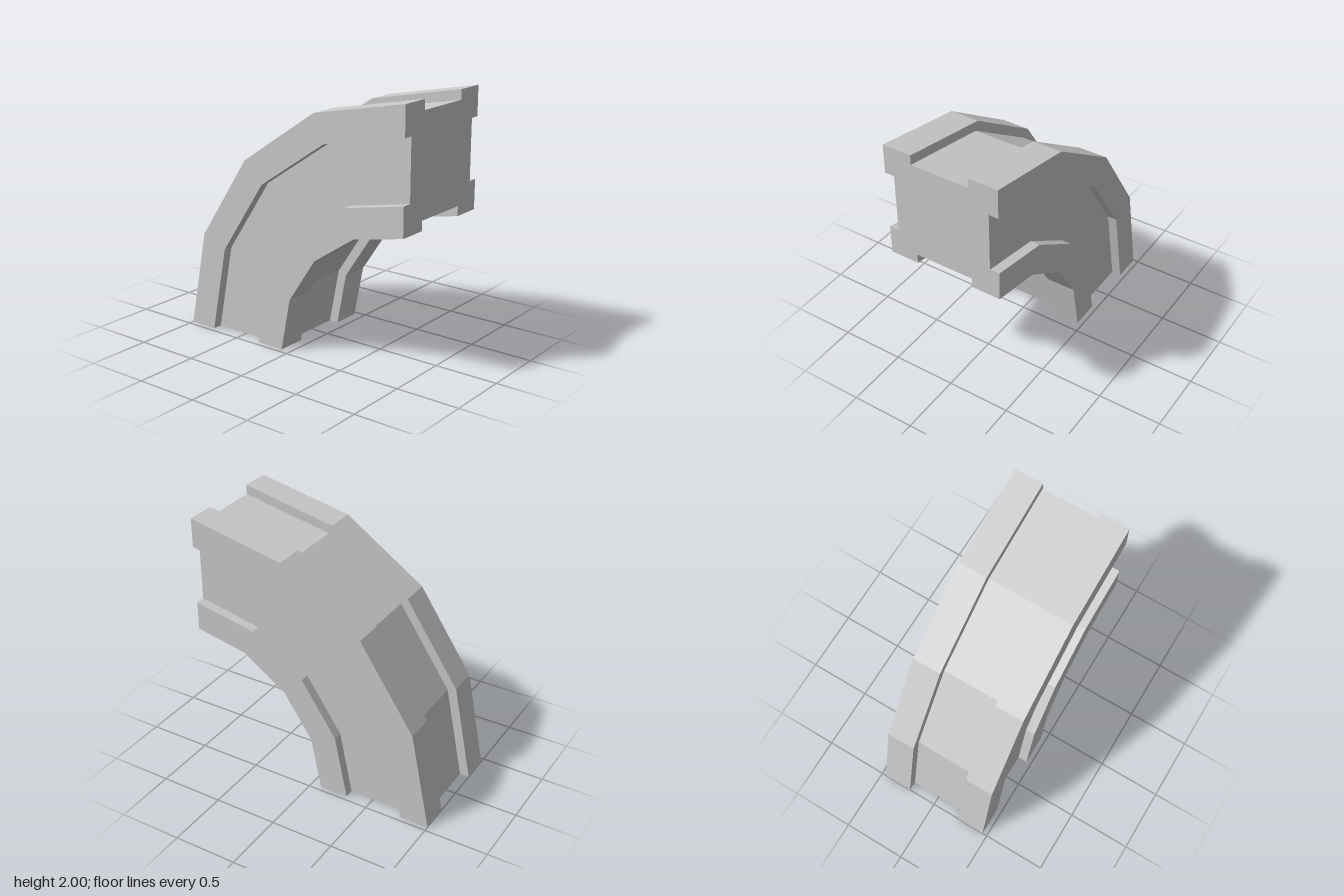
import * as THREE from 'three';

// Quarter bend: a notched block profile swept around an axis at x = 1, y = 0
const INNER = 1.08, OUTER = 2, HALF = 0.46; // radii and half width
const NOTCH = 0.075, NOTCH_HALF = 0.232;    // depth and half width of the channels
const SEGMENTS = 4;

// Profile in (radius, z): a square with a shallow channel in each side
function channelProfile() {
  const mid = (INNER + OUTER) / 2;
  const points = [];
  for (let i = 0; i < 4; i++) {
    const side = [[HALF, -HALF], [HALF, -NOTCH_HALF], [HALF - NOTCH, -NOTCH_HALF],
      [HALF - NOTCH, NOTCH_HALF], [HALF, NOTCH_HALF]];
    for (const [x, y] of side) {
      points.push(new THREE.Vector2(x, y).rotateAround(new THREE.Vector2(), i * Math.PI / 2));
    }
  }
  points.forEach((p) => { p.x += mid; });
  return new THREE.Shape(points);
}

export function createModel() {
  const group = new THREE.Group();
  group.name = 'curvedChannelBlock';

  const geometry = new THREE.ExtrudeGeometry(channelProfile(), {
    depth: SEGMENTS, steps: SEGMENTS, bevelEnabled: false,
  });

  // Bend the straight extrusion through ninety degrees
  const pos = geometry.attributes.position;
  for (let i = 0; i < pos.count; i++) {
    const radius = pos.getX(i);
    const angle = (pos.getZ(i) / SEGMENTS) * Math.PI / 2;
    pos.setXYZ(i, 1 - radius * Math.cos(angle), radius * Math.sin(angle), pos.getY(i));
  }
  geometry.computeVertexNormals();

  const bend = new THREE.Mesh(geometry,
    new THREE.MeshStandardMaterial({ color: 0xcccccc, flatShading: true }));
  bend.name = 'bend';
  group.add(bend);
  return group;
}
